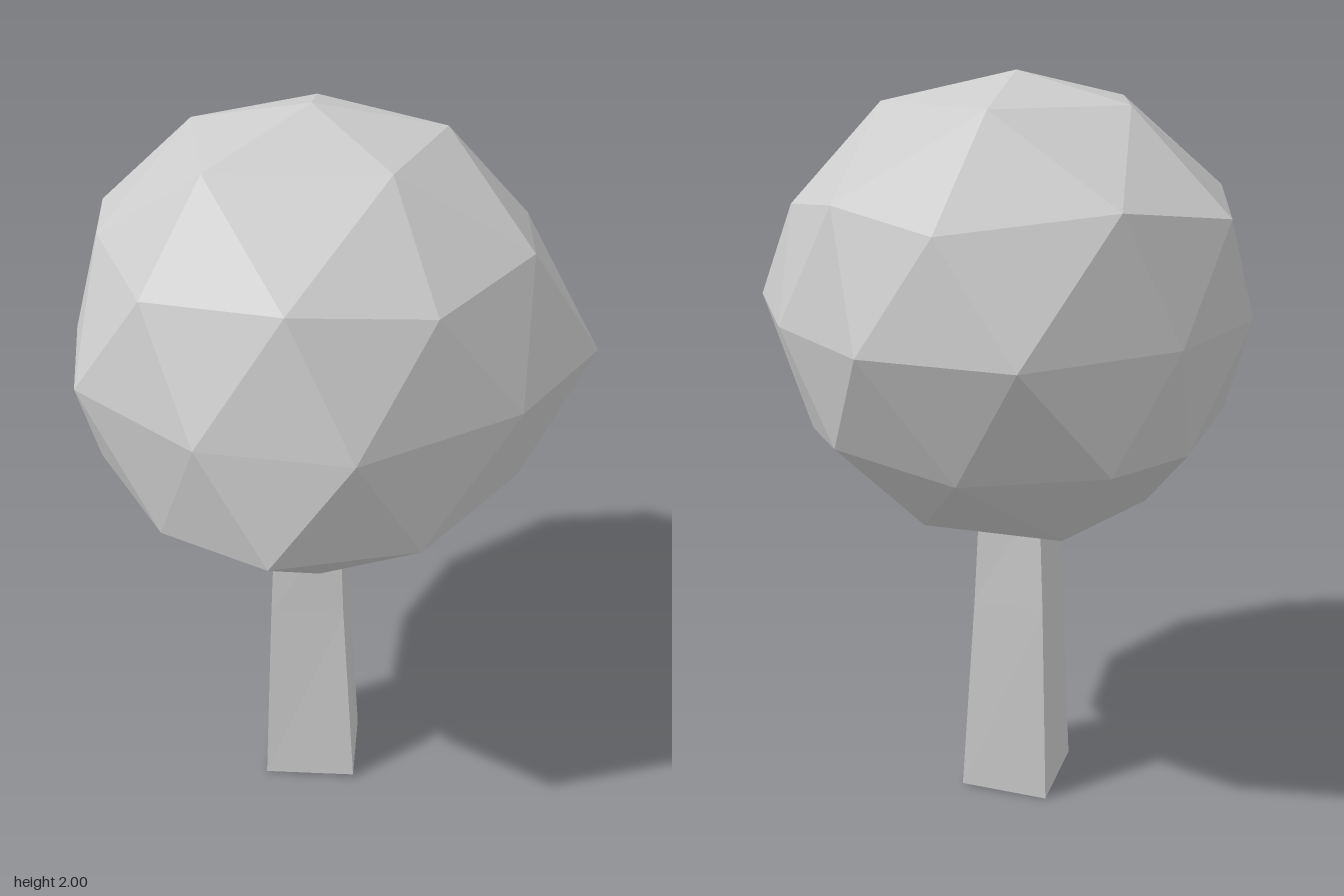
import * as THREE from 'three';

const foliage = new THREE.MeshStandardMaterial({ color: 0xcccccc, flatShading: true });
foliage.name = 'pale grey';
foliage.side = THREE.DoubleSide;

// Flat-shaded geometry from a list of triangles, each made of three points
function fromTriangles(tris) {
  const g = new THREE.BufferGeometry().setFromPoints(tris.flat());
  g.computeVertexNormals();
  return g;
}

// Horizontal loop of points; heights repeat around the ring
const ring = (heights, xz) =>
  xz.map(([x, z], i) => new THREE.Vector3(x, heights[i % heights.length], z));

// Crown: slightly uneven subdivided icosahedron, built from rings around the vertical axis
function crownGeometry() {
  const top = new THREE.Vector3(-0.02, 2, -0.01);
  const cap = ring([1.925], [[0.32, 0.03], [0.05, 0.36], [-0.31, 0.14], [-0.27, -0.23], [0.14, -0.31]]);
  const upper = ring([1.675, 1.715], [
    [0.55, 0.09], [0.4, 0.4], [0.06, 0.55], [-0.26, 0.46], [-0.55, 0.27],
    [-0.58, -0.06], [-0.44, -0.46], [-0.14, -0.57], [0.22, -0.53], [0.49, -0.27]]);
  const middle = ring([1.395], [
    [0.56, 0.33], [0.28, 0.57], [-0.14, 0.625], [-0.44, 0.44], [-0.62, 0.09],
    [-0.62, -0.35], [-0.32, -0.6], [0.08, -0.63], [0.505, -0.52], [0.62, -0.13]]);
  const lower = ring([1.07, 1.11], [
    [0.55, 0.11], [0.425, 0.475], [0.09, 0.55], [-0.26, 0.5], [-0.455, 0.24],
    [-0.605, -0.09], [-0.38, -0.38], [-0.08, -0.56], [0.24, -0.49], [0.49, -0.27]]);
  const base = ring([0.852], [[0.23, 0.165], [-0.18, 0.31], [-0.325, -0.05], [-0.05, -0.305], [0.3, -0.14]]);
  const bottom = new THREE.Vector3(0, 0.79, 0);

  const tris = [];
  // Caps: pole fan, then the fan from each cap corner to the ten-sided ring
  for (let k = 0; k < 5; k++) {
    const n = (k + 1) % 5, a = 2 * k;
    const u = (i) => upper[(i + 10) % 10], l = (i) => lower[(i + 10) % 10];
    tris.push([top, cap[n], cap[k]], [cap[k], cap[n], u(a + 1)],
      [cap[k], u(a + 1), u(a)], [cap[k], u(a), u(a - 1)]);
    tris.push([bottom, base[k], base[n]], [base[n], base[k], l(a + 2)],
      [base[k], l(a + 1), l(a + 2)], [base[k], l(a), l(a + 1)]);
  }
  // Two zigzag bands meeting at the widest ring
  for (let j = 0; j < 10; j++) {
    const n = (j + 1) % 10;
    tris.push([upper[j], upper[n], middle[j]], [upper[n], middle[n], middle[j]]);
    tris.push([lower[n], lower[j], middle[j]], [lower[n], middle[j], middle[n]]);
  }
  return fromTriangles(tris);
}

// Trunk: four-sided tapering tube, open at both ends
function trunkGeometry() {
  const loops = [
    ring([0.01, 0.005, 0, 0.005], [[0.19, 0], [0.012, 0.19], [-0.17, 0], [0.012, -0.17]]),
    ring([0.58], [[0.135, 0], [0, 0.153], [-0.147, 0], [0, -0.132]]),
    ring([0.9], [[0.115, 0], [-0.005, 0.13], [-0.127, 0], [-0.005, -0.115]]),
  ];
  const tris = [];
  for (let r = 0; r < 2; r++) {
    for (let i = 0; i < 4; i++) {
      const n = (i + 1) % 4, [a, b] = [loops[r], loops[r + 1]];
      tris.push([a[i], b[i], a[n]], [a[n], b[i], b[n]]);
    }
  }
  return fromTriangles(tris);
}

export function createModel() {
  const tree = new THREE.Group();
  tree.name = 'tree';
  for (const [name, geometry] of [['crown', crownGeometry()], ['trunk', trunkGeometry()]]) {
    const mesh = new THREE.Mesh(geometry, foliage);
    mesh.name = name;
    tree.add(mesh);
  }
  return tree;
}
